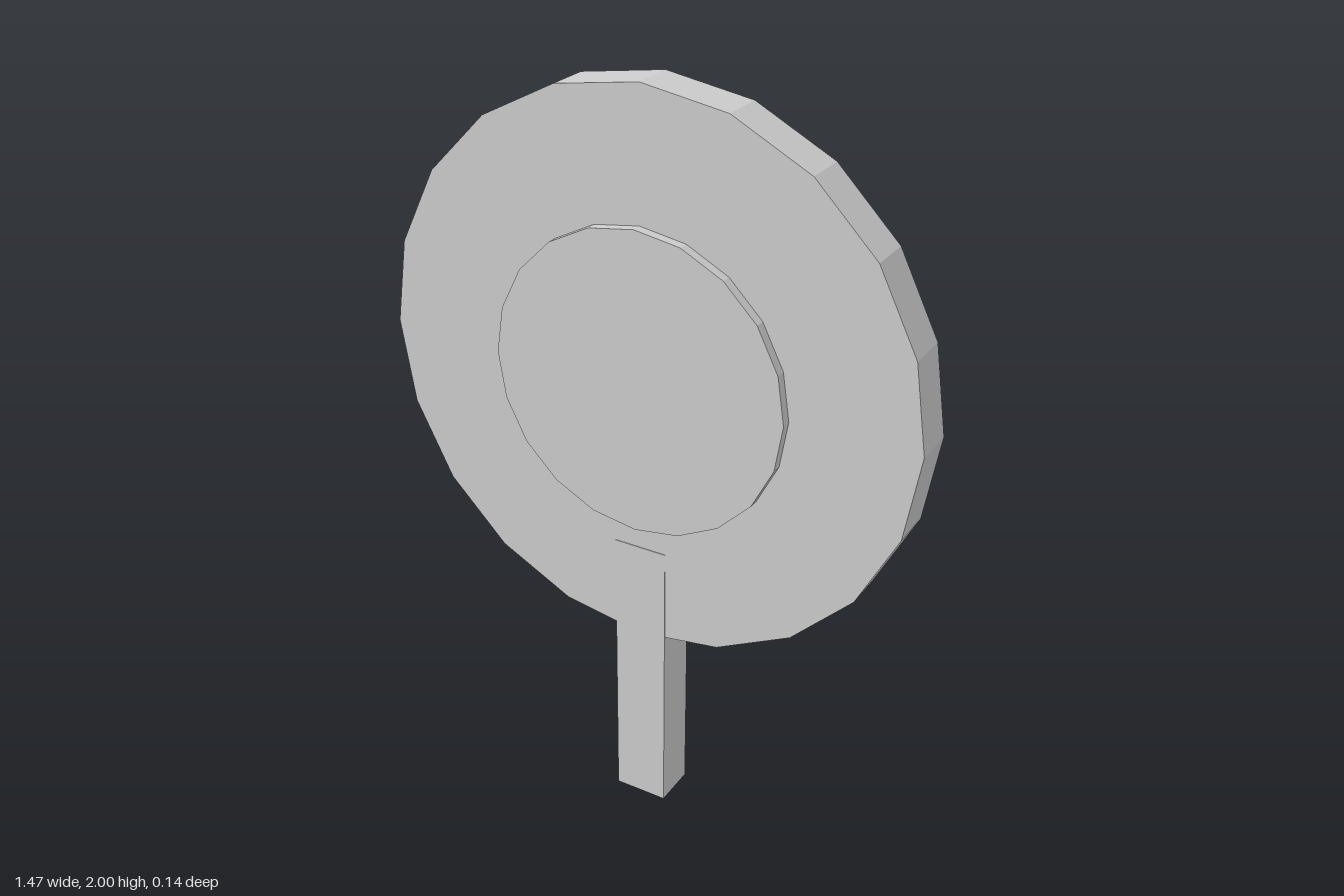
import * as THREE from 'three';

export function createModel() {
  const model = new THREE.Group();
  const grey = new THREE.MeshStandardMaterial({ color: 0xcccccc, flatShading: true });
  grey.name = 'light grey';

  const centreY = 1.267;

  // Twenty-sided disc facing +z, spanning from back to front
  function addDisc(name, radius, back, front) {
    const geometry = new THREE.CylinderGeometry(radius, radius, front - back, 20);
    geometry.rotateX(Math.PI / 2);
    const mesh = new THREE.Mesh(geometry, grey);
    mesh.name = name;
    mesh.position.set(0, centreY, (front + back) / 2);
    model.add(mesh);
  }

  addDisc('paddleDisc', 0.733, -0.0705, 0.0455);
  addDisc('raisedCentre', 0.4, 0.04, 0.0725);

  // Handle, slightly thicker than the disc and running up into it
  const handle = new THREE.Mesh(new THREE.BoxGeometry(0.147, 0.8, 0.12), grey);
  handle.name = 'handle';
  handle.position.set(0, 0.4, -0.0125);
  model.add(handle);

  return model;
}
